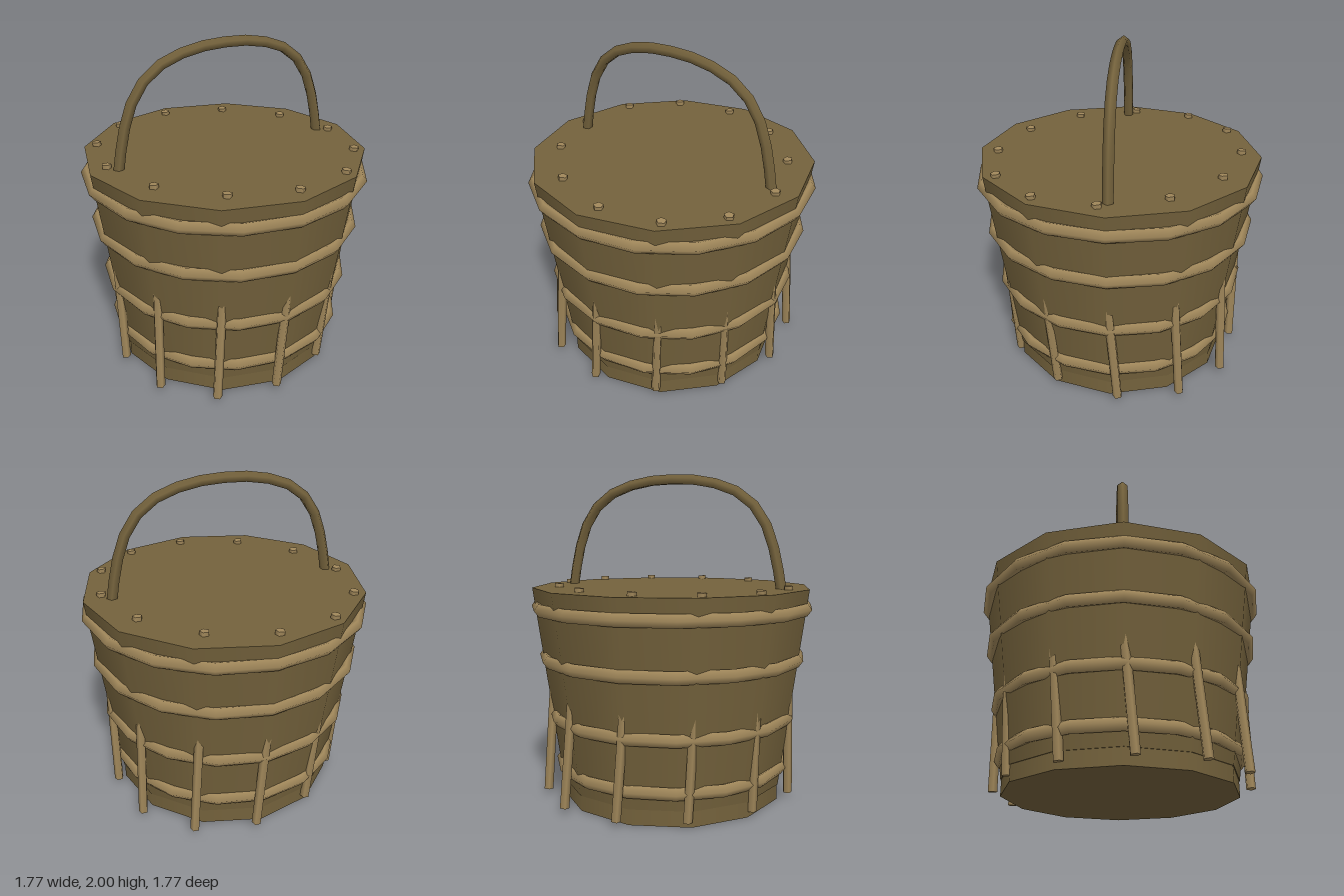
import * as THREE from 'three';

export function createModel() {
  const model = new THREE.Group();
  model.name = 'bucket';
  const darkWood = new THREE.MeshStandardMaterial({ color: 0x74623c });
  darkWood.name = 'dark wood';
  const lightWood = new THREE.MeshStandardMaterial({ color: 0xa0875a });
  lightWood.name = 'light wood';

  function add(name, geometry, material) {
    const mesh = new THREE.Mesh(geometry, material);
    mesh.name = name;
    model.add(mesh);
    return mesh;
  }

  // Straight foot and tapered twelve-sided tub, closed on top
  add('base', new THREE.CylinderGeometry(0.695, 0.695, 0.1, 12), darkWood).position.y = 0.05;
  add('tub', new THREE.CylinderGeometry(0.868, 0.7, 1.215, 12), darkWood).position.y = 0.7025;

  // Hoops: [height, ring radius]
  for (const [y, radius] of [[1.19, 0.845], [0.88, 0.8], [0.52, 0.745], [0.205, 0.706]]) {
    const hoop = add('hoop', new THREE.TorusGeometry(radius, 0.04, 5, 16), lightWood);
    hoop.rotation.x = Math.PI / 2;
    hoop.position.y = y;
  }

  // Leaning stakes that run up through the tub, their tips showing on the lid
  const up = new THREE.Vector3(0, 1, 0);
  const stakeGeometry = new THREE.CylinderGeometry(0.029, 0.029, 1.3, 5);
  for (let i = 0; i < 12; i++) {
    const a = (i / 12) * Math.PI * 2;
    const stake = add('stake', stakeGeometry, lightWood);
    stake.position.set(0.75 * Math.cos(a), 0.685, 0.75 * Math.sin(a));
    const lean = new THREE.Vector3(0.11 * Math.sin(a), 1.3, 0.11 * Math.cos(a)).normalize();
    stake.quaternion.setFromUnitVectors(up, lean);
  }

  // Arched handle, five-sided with one edge facing outward
  const half = [[0.7, 1.28], [0.67, 1.45], [0.622, 1.63], [0.56, 1.755], [0.47, 1.85], [0.35, 1.914], [0.17, 1.957]];
  const points = [
    ...half.map(([x, y]) => new THREE.Vector3(-x, y, 0)),
    new THREE.Vector3(0, 1.967, 0),
    ...half.slice().reverse().map(([x, y]) => new THREE.Vector3(x, y, 0)),
  ];
  const path = new THREE.CatmullRomCurve3(points);
  path.computeFrenetFrames = (n) => {
    const frames = { tangents: [], normals: [], binormals: [] };
    for (let i = 0; i <= n; i++) {
      const t = path.getTangentAt(i / n);
      const b = new THREE.Vector3(0, 0, -1);
      frames.tangents.push(t);
      frames.binormals.push(b);
      frames.normals.push(b.clone().cross(t));
    }
    return frames;
  };
  add('handle', new THREE.TubeGeometry(path, 16, 0.033, 5, false), darkWood);

  return model;
}
